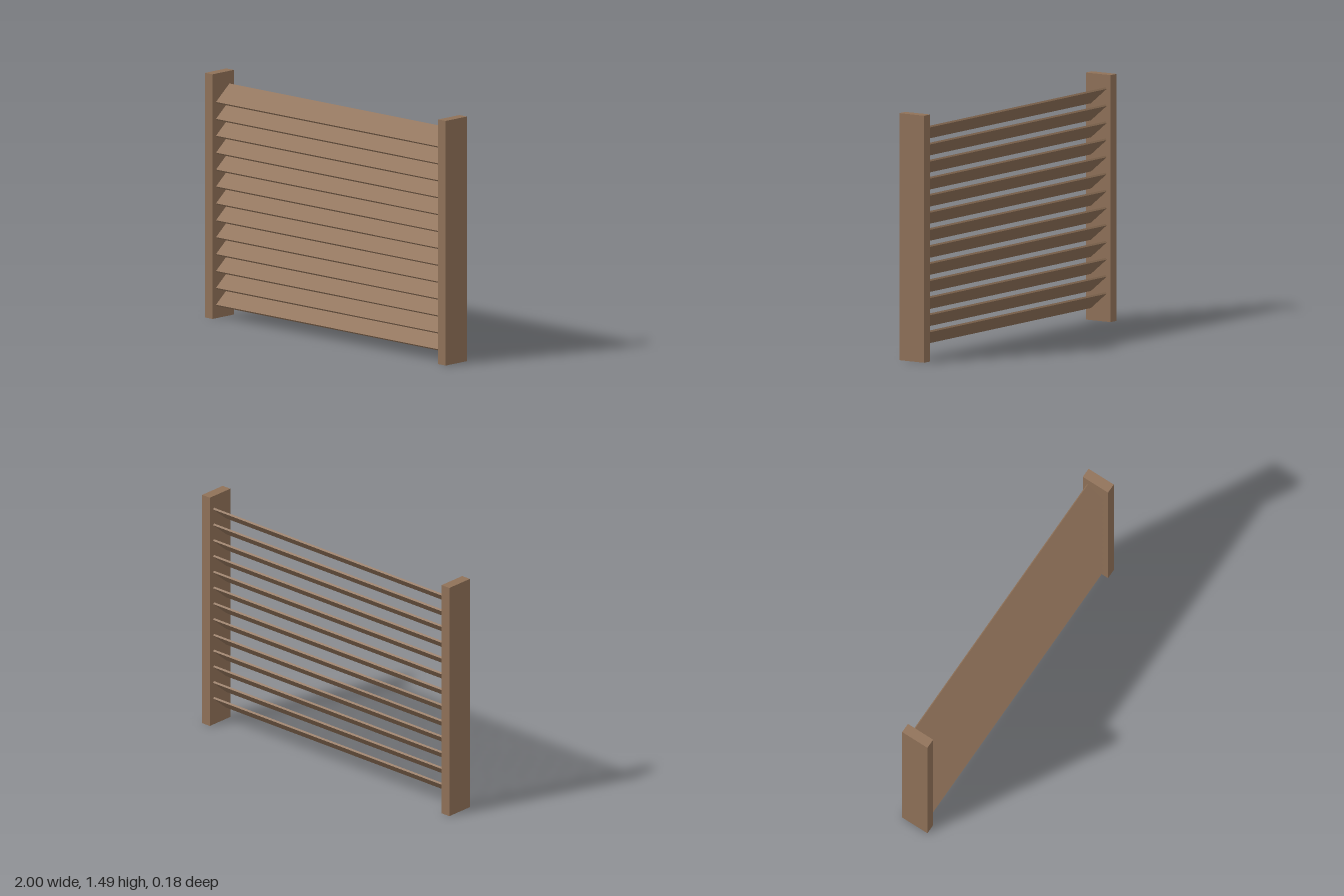
import * as THREE from 'three';

export function createModel() {
  const model = new THREE.Group();
  model.name = 'louvredScreen';

  const wood = new THREE.MeshStandardMaterial({ color: 0x8f7158 });
  wood.name = 'brown wood';

  const height = 1.485, postWidth = 0.062, postDepth = 0.18;

  // Upright posts at both ends
  const postGeometry = new THREE.BoxGeometry(postWidth, height, postDepth);
  for (const side of [1, -1]) {
    const post = new THREE.Mesh(postGeometry, wood);
    post.name = side > 0 ? 'leftPost' : 'rightPost';
    post.position.set(side * (1 - postWidth / 2), height / 2, 0);
    model.add(post);
  }

  // Tilted slats, lower edge towards the front
  const slatCount = 13, spacing = 0.1026, tilt = THREE.MathUtils.degToRad(40);
  const slatGeometry = new THREE.BoxGeometry(2 - 2 * postWidth, 0.012, 0.149);
  const slats = new THREE.Group();
  slats.name = 'slats';
  for (let i = 0; i < slatCount; i++) {
    const slat = new THREE.Mesh(slatGeometry, wood);
    slat.name = `slat${i + 1}`;
    slat.position.y = height / 2 - 0.002 + (i - (slatCount - 1) / 2) * spacing;
    slat.rotation.x = tilt;
    slats.add(slat);
  }
  model.add(slats);

  return model;
}
